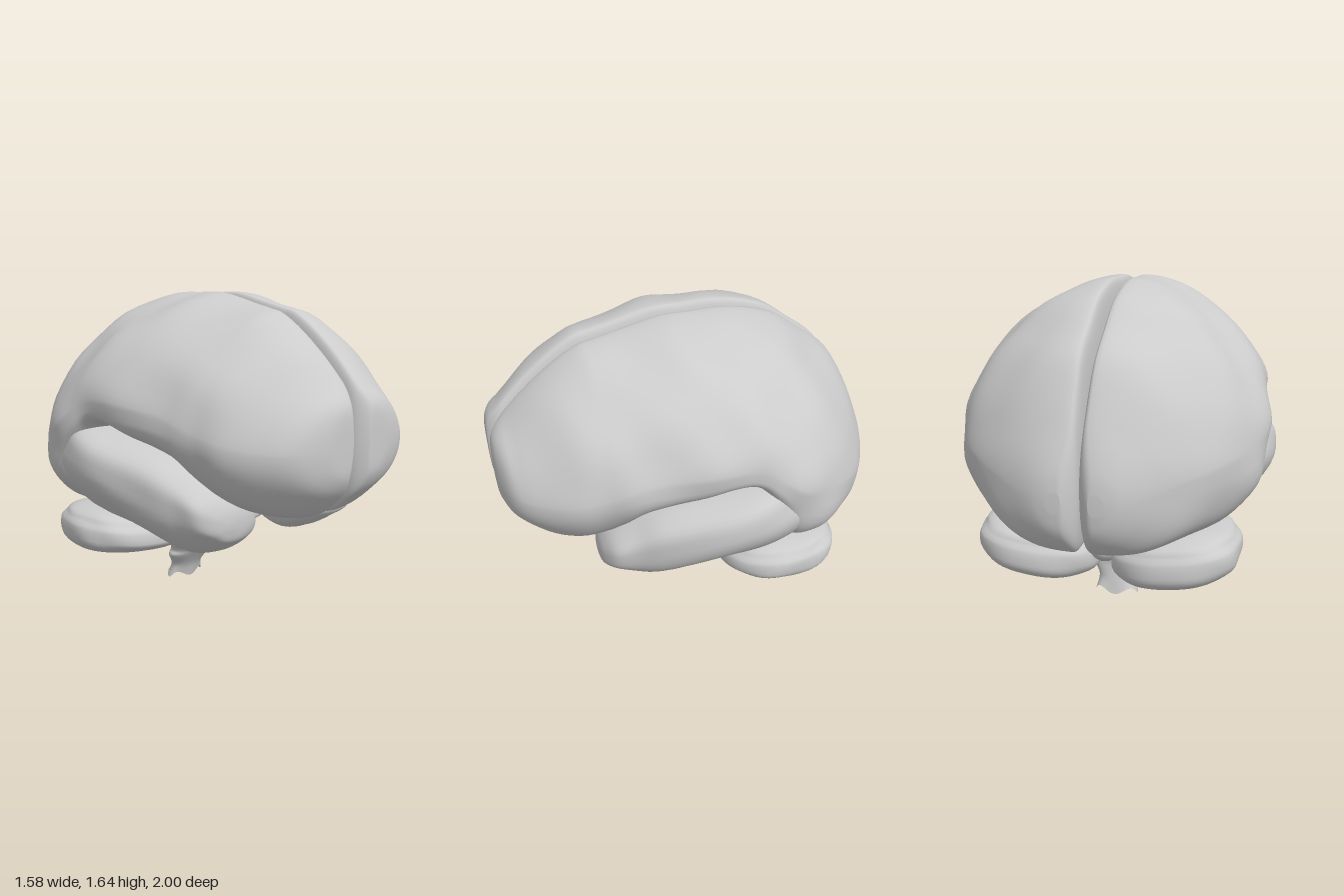
import * as THREE from 'three';

const TAU = Math.PI * 2;
const material = new THREE.MeshStandardMaterial({ color: 0xcccccc, side: THREE.DoubleSide });

// Catmull-Rom blend of a list of number rows
function sample(rows, t) {
  const f = t * (rows.length - 1);
  const i = Math.min(Math.floor(f), rows.length - 2);
  const u = f - i;
  const at = (k) => rows[Math.max(0, Math.min(rows.length - 1, k))];
  const [a, b, c, d] = [at(i - 1), at(i), at(i + 1), at(i + 2)];
  return b.map((_, k) => 0.5 * (2 * b[k] + (c[k] - a[k]) * u
    + (2 * a[k] - 5 * b[k] + 4 * c[k] - d[k]) * u * u
    + (3 * b[k] - a[k] - 3 * c[k] + d[k]) * u * u * u));
}

// Skin closed rings; point(row, angle) gives [x, y, z]; ends are fanned shut
function loft(rows, point, rings, sides, capEnd = true) {
  const pos = [], index = [];
  for (let i = 0; i <= rings; i++) {
    const row = sample(rows, i / rings);
    for (let j = 0; j < sides; j++) pos.push(...point(row, (j / sides) * TAU));
  }
  for (let i = 0; i < rings; i++) {
    for (let j = 0; j < sides; j++) {
      const a = i * sides + j, b = i * sides + (j + 1) % sides;
      index.push(a, a + sides, b, b, a + sides, b + sides);
    }
  }
  for (const ring of capEnd ? [0, rings] : [0]) {
    const mid = [0, 0, 0], base = ring * sides, tip = pos.length / 3;
    for (let j = 0; j < sides; j++) for (let k = 0; k < 3; k++) mid[k] += pos[(base + j) * 3 + k] / sides;
    pos.push(...mid);
    for (let j = 0; j < sides; j++) {
      const a = base + j, b = base + (j + 1) % sides;
      index.push(...(ring === 0 ? [tip, a, b] : [tip, b, a]));
    }
  }
  const g = new THREE.BufferGeometry();
  g.setAttribute('position', new THREE.Float32BufferAttribute(pos, 3));
  g.setIndex(index);
  g.computeVertexNormals();
  return g;
}

// Mirror a geometry across x = 0, keeping the faces outward
function mirrored(geometry) {
  const g = geometry.clone().scale(-1, 1, 1);
  const idx = g.index.array;
  for (let i = 0; i < idx.length; i += 3) [idx[i], idx[i + 1]] = [idx[i + 1], idx[i]];
  g.computeVertexNormals();
  return g;
}

const spow = (v, e) => Math.sign(v) * Math.abs(v) ** e;

// Soft folds of the outer surface
const folds = (x, y, z) =>
  Math.sin(11 * z + 5 * y + 2) * Math.sin(8 * y - 4 * x)
  + 0.7 * Math.sin(17 * z - 9 * y + 6 * x) + 0.5 * Math.sin(23 * y + 7 * z);

// Cerebral hemisphere: z, top, bottom, outer x, height of the widest point, power of the lower curve
const hemisphereRows = [
  [0.995, 1.07, 0.92, 0.14, 1.0, 1],
  [0.985, 1.17, 0.84, 0.23, 0.99, 1],
  [0.93, 1.25, 0.75, 0.37, 0.98, 1],
  [0.8, 1.38, 0.64, 0.48, 0.98, 1],
  [0.66, 1.49, 0.62, 0.57, 1.0, 1],
  [0.54, 1.56, 0.63, 0.6, 1.03, 1],
  [0.46, 1.58, 0.7, 0.62, 1.06, 0.9],
  [0.36, 1.6, 0.85, 0.64, 1.09, 0.65],
  [0.14, 1.645, 0.925, 0.7, 1.12, 0.5],
  [-0.02, 1.645, 0.985, 0.725, 1.13, 0.5],
  [-0.15, 1.645, 0.975, 0.74, 1.11, 0.5],
  [-0.24, 1.635, 0.83, 0.755, 1.05, 0.6],
  [-0.35, 1.61, 0.52, 0.768, 0.97, 0.7],
  [-0.48, 1.56, 0.47, 0.745, 0.93, 0.7],
  [-0.62, 1.46, 0.47, 0.675, 0.89, 0.7],
  [-0.77, 1.34, 0.465, 0.54, 0.85, 0.75],
  [-0.87, 1.17, 0.47, 0.42, 0.81, 0.8],
  [-0.94, 1.01, 0.53, 0.3, 0.77, 0.9],
  [-0.985, 0.88, 0.61, 0.2, 0.75, 1],
  [-1.0, 0.79, 0.7, 0.13, 0.745, 1],
];
function hemispherePoint([z, top, bottom, wide, yWide, lower], a) {
  const c = Math.cos(a), s = Math.sin(a);
  const end = Math.max(0, (Math.abs(z) - 0.91) / 0.09);
  const crest = 0.062 + 0.038 * end, inner = 0.001 + 0.06 * end * end;
  const e = s > 0 ? 1.25 - 0.25 * end : lower;
  const h = s > 0 ? top - yWide : yWide - bottom;
  let x = c > 0 ? crest + (wide - crest) * spow(c, e) : crest + (crest - inner) * spow(c, 0.5);
  let y = yWide + h * spow(s, e);
  if (c > 0) {
    const k = 1 + 0.012 * folds(x, y, z) * Math.min(1, c * 2.5) * Math.max(0, 1 - end);
    x = crest + (x - crest) * k;
    y = yWide + (y - yWide) * k;
  }
  return [x, y, z];
}

// Temporal lobe: z, centre x, centre y, half width, half height, outward lean
const temporalRows = [
  [0.58, 0.4, 0.6, 0.02, 0.02, 0],
  [0.565, 0.39, 0.6, 0.1, 0.08, 0.02],
  [0.52, 0.38, 0.615, 0.18, 0.13, 0.05],
  [0.42, 0.38, 0.62, 0.22, 0.2, 0.07],
  [0.29, 0.4, 0.64, 0.26, 0.25, 0.1],
  [0.03, 0.445, 0.705, 0.3, 0.25, 0.12],
  [-0.15, 0.455, 0.73, 0.31, 0.26, 0.12],
  [-0.3, 0.43, 0.74, 0.31, 0.265, 0.1],
  [-0.45, 0.38, 0.73, 0.29, 0.24, 0.07],
  [-0.6, 0.32, 0.7, 0.2, 0.19, 0.03],
  [-0.65, 0.3, 0.7, 0.02, 0.02, 0],
];
function temporalPoint([z, cx, cy, rx, ry, lean], a) {
  const c = spow(Math.cos(a), 0.92), s = spow(Math.sin(a), 0.92);
  // two long grooves along the outer side
  const k = 1 + 0.02 * Math.cos(7 * a + 3 * z) * Math.max(0, c) + 0.008 * Math.sin(13 * z + 4 * a);
  return [cx + (rx * c + lean * s) * k, cy + ry * s * k, z];
}

// Brain stem: y, centre z, half width, half depth
const stemRows = [
  [0.85, -0.05, 0.1, 0.12],
  [0.62, -0.03, 0.13, 0.13],
  [0.5, -0.07, 0.18, 0.14],
  [0.4, -0.11, 0.205, 0.14],
  [0.29, -0.18, 0.175, 0.11],
  [0.2, -0.22, 0.13, 0.09],
  [0.16, -0.235, 0.14, 0.075],
  [0.09, -0.265, 0.1, 0.06],
  [0.025, -0.285, 0.115, 0.055],
];
function stemPoint([y, cz, rx, rz], a) {
  const fray = Math.max(0, 1 - y / 0.08) * 0.025 * Math.cos(4 * a + Math.PI);
  return [rx * Math.cos(a), y + fray, cz - rz * Math.sin(a)];
}

// Cerebellar lobe: rounded block, tilted up at its outer end, with a groove around its side
function cerebellumGeometry() {
  const g = new THREE.SphereGeometry(1, 48, 32);
  const p = g.attributes.position;
  for (let i = 0; i < p.count; i++) {
    const x = p.getX(i), y = p.getY(i), z = p.getZ(i);
    const k = 1 - 0.04 * Math.exp(-(((y - 0.35) / 0.13) ** 2)) + 0.012 * Math.sin(9 * z + 6 * y);
    const px = spow(x, 0.85) * k;
    const py = spow(y, 0.7), pz = spow(z, 0.85) * k;
    // the underside draws in towards the front
    const front = 0.06 * Math.max(0, z) * Math.max(0, -y);
    p.setXYZ(i, 0.345 + 0.32 * px, 0.345 + 0.145 * py + 0.035 * px + front, -0.415 + 0.33 * pz);
  }
  g.computeVertexNormals();
  return g;
}

export function createModel() {
  const group = new THREE.Group();
  const add = (name, geometry) => {
    const mesh = new THREE.Mesh(geometry, material);
    mesh.name = name;
    group.add(mesh);
  };
  const pair = (name, geometry) => {
    add('left' + name, geometry);
    add('right' + name, mirrored(geometry));
  };

  pair('Hemisphere', loft(hemisphereRows, hemispherePoint, 95, 72));
  pair('TemporalLobe', loft(temporalRows, temporalPoint, 60, 48));
  pair('CerebellumLobe', cerebellumGeometry());
  add('brainStem', loft(stemRows, stemPoint, 40, 32, false));

  // Central core joining the stem to the hemispheres
  const ball = new THREE.SphereGeometry(1, 32, 20);
  add('innerCore', ball.clone().scale(0.2, 0.15, 0.26).translate(0, 0.74, -0.12));
  add('cerebellumBridge', ball.clone().scale(0.1, 0.11, 0.22).translate(0, 0.37, -0.4));

  // Optic nerves crossing under the frontal lobes, with the small stalk
  const nerve = new THREE.CatmullRomCurve3([
    new THREE.Vector3(0.12, 0.61, 0.42),
    new THREE.Vector3(0.03, 0.6, 0.3),
    new THREE.Vector3(0.05, 0.61, 0.2),
    new THREE.Vector3(0.13, 0.65, 0.02),
  ]);
  pair('OpticNerve', new THREE.TubeGeometry(nerve, 20, 0.018, 8));
  add('stalk', new THREE.CylinderGeometry(0.03, 0.015, 0.12, 10).translate(0, 0.59, 0.26));
  return group;
}
